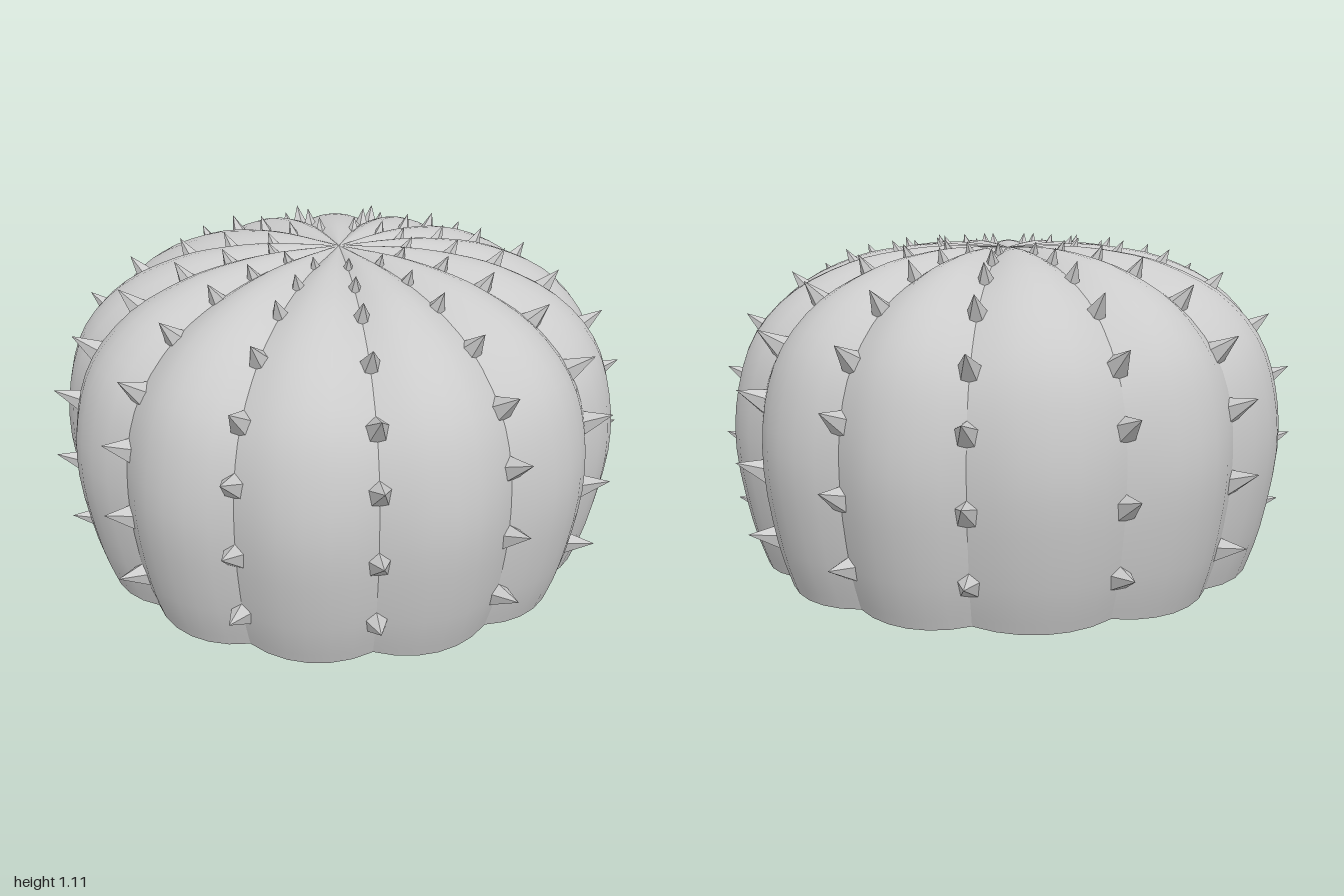
import * as THREE from 'three';

const mat = new THREE.MeshStandardMaterial({ color: 0xcccccc, side: THREE.DoubleSide });
const spineMat = new THREE.MeshStandardMaterial({ color: 0xcccccc, side: THREE.DoubleSide, flatShading: true });

// Groove directions around the plant, in degrees from +x towards +z
const grooves = [-87.5, -61.8, -35, -9.2, 18.2, 45, 72.2, 99.2, 125.5, 152.5, 180, 215, 243];

// Profiles (radius, height) along a groove and along the crest of a rib
const profile = (pts) => new THREE.SplineCurve(pts.map(([r, y]) => new THREE.Vector2(r, y)));
const groove = profile([[0.835, 0.01], [0.88, 0.16], [0.915, 0.4], [0.905, 0.62], [0.84, 0.79],
  [0.7, 0.93], [0.53, 1.01], [0.38, 1.05], [0.23, 1.07], [0, 1.08]]);
const crest = profile([[0.875, 0], [0.925, 0.16], [0.967, 0.42], [0.95, 0.63], [0.885, 0.81],
  [0.75, 0.95], [0.56, 1.04], [0.4, 1.075], [0.22, 1.09], [0, 1.08]]);

// Rounded rib between two grooves
function ribGeometry(a0, a1) {
  const nu = 6, nv = 27, pos = [], idx = [];
  for (let j = 0; j <= nv; j++) {
    const g = groove.getPoint(j / nv), c = crest.getPoint(j / nv);
    for (let i = 0; i <= nu; i++) {
      const u = i / nu;
      const p = g.clone().lerp(c, Math.pow(Math.sin(Math.PI * u), 0.85) || 0);
      const a = THREE.MathUtils.degToRad(a0 + (a1 - a0) * u);
      pos.push(p.x * Math.cos(a), p.y, p.x * Math.sin(a));
      if (i < nu && j < nv) {
        const k = j * (nu + 1) + i, m = k + nu + 1;
        idx.push(k, m, k + 1, k + 1, m, m + 1);
      }
    }
  }
  const geo = new THREE.BufferGeometry();
  geo.setAttribute('position', new THREE.Float32BufferAttribute(pos, 3));
  geo.setIndex(idx);
  geo.computeVertexNormals();
  return geo;
}

// Spines along one groove: radius, height, upward tilt in degrees, size
const spines = [
  [0.88, 0.16, 12, 1], [0.915, 0.39, 22, 1], [0.905, 0.62, 27, 1], [0.84, 0.79, 38, 1],
  [0.7, 0.93, 50, 0.88], [0.53, 1.01, 60, 0.74], [0.38, 1.05, 64, 0.6], [0.23, 1.07, 66, 0.48],
];

// Five-sided hollow thorn, lying along +x with one corner on top and its root below the skin
const thorn = new THREE.ConeGeometry(0.053, 0.135, 5, 1, true);
thorn.rotateY(-Math.PI / 2);
thorn.rotateZ(-Math.PI / 2);
thorn.translate(0.035, 0, 0);

export function createModel() {
  const model = new THREE.Group();
  model.name = 'cactus';
  const body = new THREE.Group();
  body.name = 'body';
  model.add(body);

  grooves.forEach((a, i) => {
    const next = i + 1 < grooves.length ? grooves[i + 1] : grooves[0] + 360;
    const rib = new THREE.Mesh(ribGeometry(a, next), mat);
    rib.name = 'rib';
    body.add(rib);

    const row = new THREE.Group();
    row.name = 'spineRow';
    row.rotation.y = -THREE.MathUtils.degToRad(a);
    for (const [r, y, tilt, size] of spines) {
      const spine = new THREE.Mesh(thorn, spineMat);
      spine.name = 'spine';
      spine.position.set(r, y, 0);
      spine.rotation.z = THREE.MathUtils.degToRad(tilt);
      spine.scale.setScalar(size);
      row.add(spine);
    }
    model.add(row);
  });
  return model;
}
